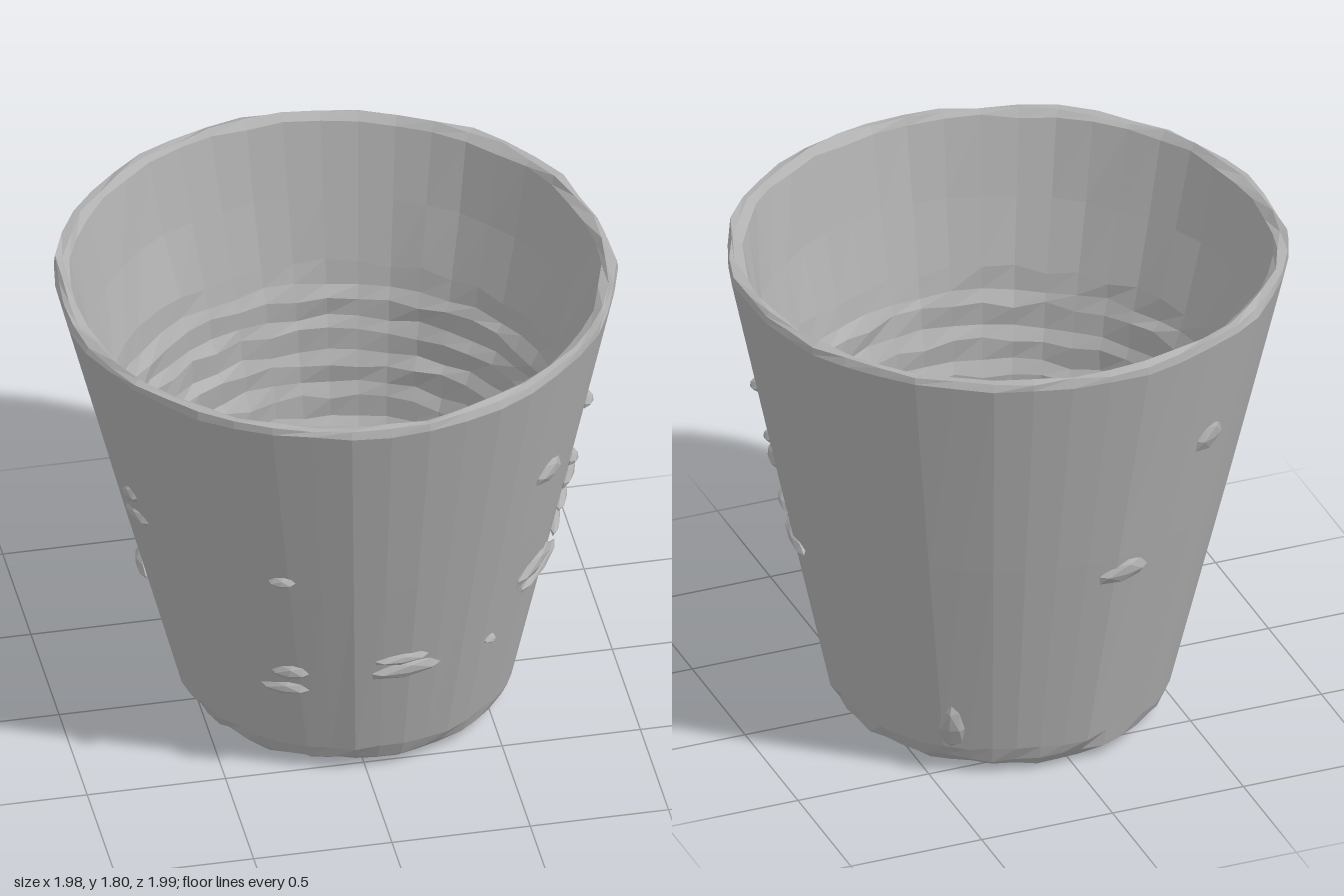
import * as THREE from 'three';

const SIDES = 44;

export function createModel() {
  const group = new THREE.Group();
  group.name = 'roughCup';
  const stone = new THREE.MeshStandardMaterial({ color: 0xb0b0b0, flatShading: true });
  stone.name = 'stone grey';

  // seeded random number from -1 to 1
  let seed = 7;
  const rnd = () => {
    seed = (seed * 16807) % 2147483647;
    return (seed / 2147483647) * 2 - 1;
  };

  // the cup leans slightly: its base is off centre, its rim is centred
  const lean = (y) => 0.047 * (1 - y / 1.78);
  const outerRadius = (y) => 0.61 + (y - 0.1) * 0.2335;

  // facets that run the full height of the wall
  const facet = Array.from({ length: SIDES }, () => rnd() * 0.009);

  // one wobbly ring; jr and jy are the roughness of radius and height
  function ring(r, y, jr = 0, jy = 0, facets = 0) {
    return Array.from({ length: SIDES }, (_, i) => {
      const a = (i / SIDES) * Math.PI * 2;
      const rr = r + rnd() * jr + facet[i] * facets;
      const yy = Math.max(0, y + rnd() * jy);
      return [lean(y) + rr * Math.cos(a), yy, -lean(y) + rr * Math.sin(a)];
    });
  }

  // skin a run of rings
  function loft(name, rings) {
    const pos = [];
    for (let k = 0; k < rings.length - 1; k++) {
      const a = rings[k], b = rings[k + 1];
      for (let i = 0; i < SIDES; i++) {
        const j = (i + 1) % SIDES;
        pos.push(...a[i], ...b[i], ...a[j], ...a[j], ...b[i], ...b[j]);
      }
    }
    const g = new THREE.BufferGeometry();
    g.setAttribute('position', new THREE.Float32BufferAttribute(pos, 3));
    g.computeVertexNormals();
    const mesh = new THREE.Mesh(g, stone);
    mesh.name = name;
    group.add(mesh);
  }

  // underside with a rounded foot ring
  const foot = [
    ring(0.001, 0.07), ring(0.41, 0.07, 0.012, 0.008), ring(0.44, 0.03, 0.01, 0.008),
    ring(0.49, 0.012, 0.008, 0.01), ring(0.545, 0.022, 0.01, 0.012),
    ring(0.585, 0.055, 0.008, 0.01), ring(0.61, 0.11, 0, 0.008, 1),
  ];
  loft('footRing', foot);

  // outer wall in two bands
  const wall = [foot[foot.length - 1], ring(outerRadius(0.93), 0.93, 0, 0, 1), ring(0.995, 1.765, 0, 0.006, 1)];
  loft('outerWall', wall);

  // chipped rim
  const rim = [
    wall[2], ring(0.988, 1.792, 0.006, 0.008, 1),
    ring(0.965, 1.797, 0.008, 0.008), ring(0.94, 1.775, 0.008, 0.008),
  ];
  loft('rim', rim);

  // smooth upper part of the inside
  const inside = [rim[3], ring(0.875, 1.49, 0, 0, 1), ring(0.81, 1.24, 0.008, 0.02)];
  loft('innerWall', inside);

  // uneven ledges lower down inside
  const ledges = [inside[2]];
  const STEPS = 8;
  for (let k = 1; k <= STEPS; k++) {
    const t = k / STEPS;
    const y = 1.24 - 1.02 * t, r = 0.81 - 0.21 * t;
    ledges.push(ring(r + 0.014, y + 0.045, 0.007, 0.012), ring(r - 0.012, y, 0.009, 0.014));
  }
  loft('innerLedges', ledges);

  // rolled edge and floor
  const floor = [
    ledges[ledges.length - 1], ring(0.555, 0.19, 0.006, 0.008), ring(0.52, 0.165, 0.006, 0.006),
    ring(0.5, 0.115, 0.006, 0.004), ring(0.3, 0.108, 0, 0.008), ring(0.001, 0.105),
  ];
  loft('floor', floor);

  // raised flakes on the outer wall: direction x, z, then height, width, thickness
  const flakes = [
    [-0.36, 0.75, 0.98, 0.1, 0.05], [-0.3, 0.62, 0.5, 0.14, 0.07], [-0.32, 0.6, 0.415, 0.18, 0.06],
    [0.1, 0.67, 0.57, 0.2, 0.05], [0.12, 0.66, 0.51, 0.26, 0.08], [0.43, 0.52, 0.51, 0.06, 0.03],
    [0.63, 0.42, 0.73, 0.28, 0.09], [0.66, 0.36, 0.67, 0.34, 0.06], [0.75, 0.1, 0.71, 0.28, 0.05],
    [0.62, 0.55, 1.24, 0.15, 0.1], [0.83, 0.23, 1.28, 0.07, 0.06], [0.76, 0.23, 0.98, 0.17, 0.09],
    [0.76, 0.24, 1.05, 0.07, 0.06], [0.76, 0.16, 0.83, 0.2, 0.04],
    [-0.45, -0.75, 1.33, 0.14, 0.13], [-0.13, -0.82, 0.86, 0.2, 0.1], [-0.74, -0.1, 0.56, 0.2, 0.08],
    [-0.79, 0.23, 1.1, 0.1, 0.09], [-0.79, 0.23, 1.0, 0.16, 0.07], [0.4, -0.5, 0.2, 0.1, 0.2],
  ];
  flakes.forEach(([x, z, y, w, h]) => {
    const g = new THREE.OctahedronGeometry(1, 1);
    g.scale(w / 2, h / 2, 0.026);
    // ragged outline: taper towards the top
    const p = g.attributes.position;
    for (let i = 0; i < p.count; i++) {
      const v = p.getY(i) / h;
      p.setX(i, p.getX(i) * (1 - 0.5 * v) + 0.15 * w * v);
    }
    g.computeVertexNormals();
    const m = new THREE.Mesh(g, stone);
    const a = Math.atan2(x - lean(y), z + lean(y));
    const r = outerRadius(y) - 0.004;
    m.position.set(lean(y) + r * Math.sin(a), y, -lean(y) + r * Math.cos(a));
    m.rotation.set(0.23, a, 0, 'YXZ');
    m.name = 'wallFlake';
    group.add(m);
  });

  return group;
}
